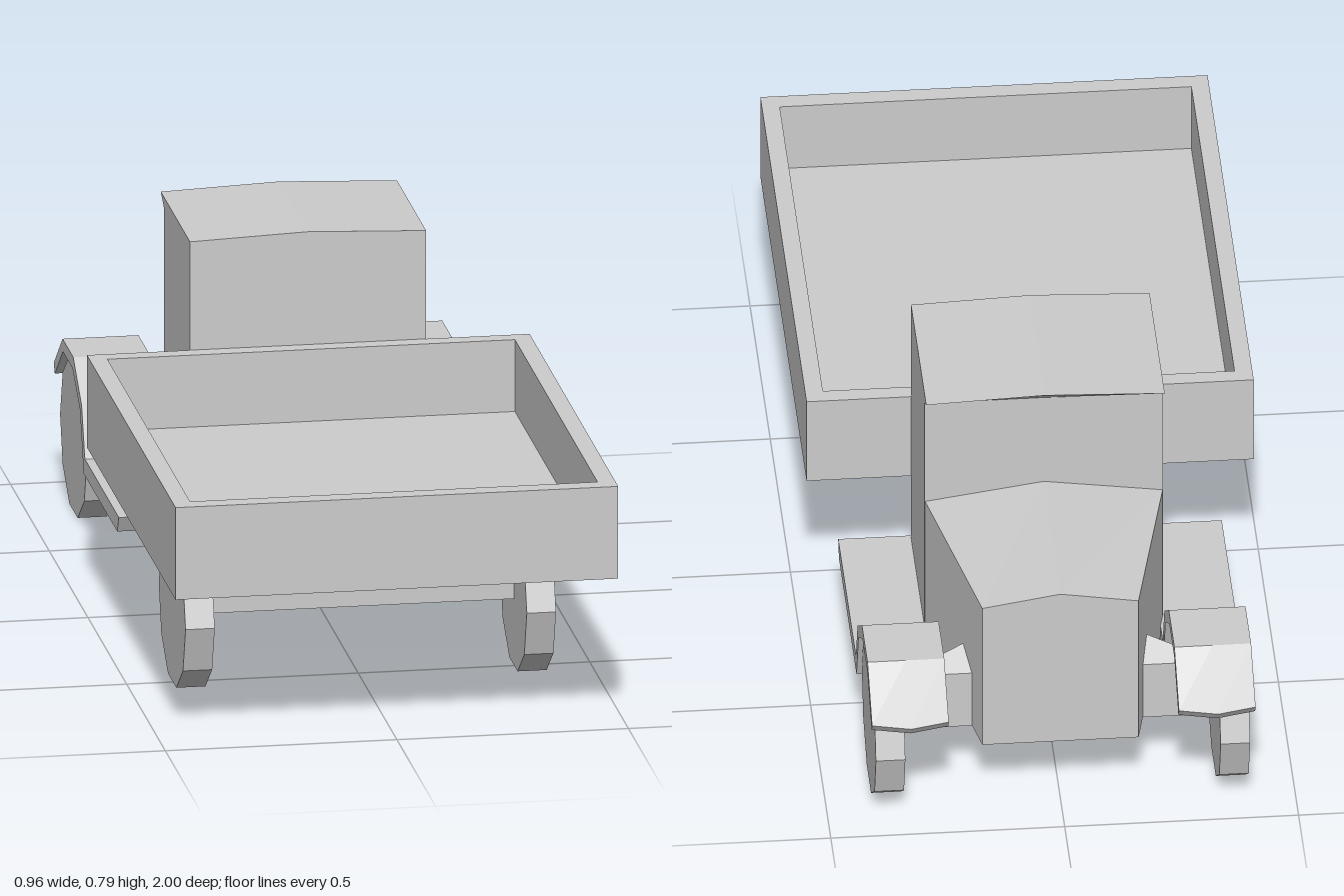
import * as THREE from 'three';

const material = new THREE.MeshStandardMaterial({ color: 0xcccccc, flatShading: true });

function addMesh(parent, name, geometry) {
  const mesh = new THREE.Mesh(geometry, material);
  mesh.name = name;
  parent.add(mesh);
  return mesh;
}

// Moves every vertex by a rule
function warp(geometry, rule) {
  const pos = geometry.attributes.position;
  const v = new THREE.Vector3();
  for (let i = 0; i < pos.count; i++) {
    rule(v.fromBufferAttribute(pos, i));
    pos.setXYZ(i, v.x, v.y, v.z);
  }
  geometry.computeVertexNormals();
  return geometry;
}

// Extrudes a side profile of [z, y] points from x0 to x1, with a middle row of vertices
function sideExtrude(profile, x0, x1) {
  const shape = new THREE.Shape(profile.map(([z, y]) => new THREE.Vector2(z, y)));
  return new THREE.ExtrudeGeometry(shape, { depth: x1 - x0, steps: 2, bevelEnabled: false })
    .rotateY(-Math.PI / 2)
    .translate(x1, 0, 0);
}

function rectangle(PathType, x, z0, z1) {
  return new PathType([[-x, z0], [x, z0], [x, z1], [-x, z1]].map(([a, b]) => new THREE.Vector2(a, b)));
}

export function createModel() {
  const truck = new THREE.Group();
  truck.name = 'truck';

  // Open cargo bed: a rim of four walls around a floor
  const bed = new THREE.Group();
  bed.name = 'cargoBed';
  truck.add(bed);
  const rim = rectangle(THREE.Shape, 0.478, -1, 0.145);
  rim.holes.push(rectangle(THREE.Path, 0.44, -0.96, 0.108));
  addMesh(bed, 'bedWalls', new THREE.ExtrudeGeometry(rim, { depth: 0.205, bevelEnabled: false })
    .rotateX(-Math.PI / 2).translate(0, 0.335, 0));
  addMesh(bed, 'bedFloor', new THREE.BoxGeometry(0.9, 0.045, 1.09).translate(0, 0.3577, 0.426));

  // Cab with a ridged roof and a small visor over the windscreen
  const cab = sideExtrude(
    [[-0.148, 0.15], [-0.148, 0.78], [-0.525, 0.78], [-0.485, 0.757], [-0.485, 0.15]], -0.255, 0.255);
  addMesh(truck, 'cab', warp(cab, (v) => {
    if (Math.abs(v.x) < 0.01 && v.y > 0.77) v.y += 0.01;
  }));

  // Hood narrows toward the nose and has a central ridge
  const hood = sideExtrude([[-0.48, 0.15], [-0.48, 0.503], [-0.895, 0.503], [-0.895, 0.15]], -1, 1);
  addMesh(truck, 'hood', warp(hood, (v) => {
    const nose = v.z < -0.6;
    if (Math.abs(v.x) < 0.01 && v.y > 0.4) v.y += nose ? 0.027 : 0.037;
    v.x *= nose ? 0.167 : 0.255;
  }));

  // Chassis spine that flares into an axle at both ends
  const rows = [-0.82, -0.71, 0.38, 0.5];
  addMesh(truck, 'chassis', warp(new THREE.BoxGeometry(2, 1, 3, 1, 1, 3), (v) => {
    const row = Math.round(v.z + 1.5);
    const end = row === 0 || row === 3;
    v.set(v.x * (end ? 0.34 : 0.09), v.y < 0 ? 0.149 : end ? 0.285 : 0.345, rows[row]);
  }));

  // Running boards that bend up into the front fenders
  const fenderProfile = [
    [-0.14, 0.177], [-0.578, 0.177], [-0.62, 0.284], [-0.728, 0.359], [-0.867, 0.359], [-0.98, 0.272],
    [-0.966, 0.252], [-0.862, 0.332], [-0.739, 0.332], [-0.642, 0.268], [-0.594, 0.14], [-0.16, 0.14],
  ];
  for (const [side, s] of [['left', 1], ['right', -1]]) {
    const middle = s * 0.328;
    const fender = sideExtrude(fenderProfile, middle - 0.082, middle + 0.082);
    addMesh(truck, side + 'FenderAndRunningBoard', warp(fender, (v) => {
      if (Math.abs(v.x - middle) < 0.01 && v.z < -0.95) v.z -= 0.02;
    }));

    // Ten-sided wheels
    for (const [end, z] of [['Front', -0.785], ['Rear', 0.49]]) {
      const wheel = addMesh(truck, side + end + 'Wheel',
        new THREE.CylinderGeometry(0.173, 0.173, 0.063, 10).rotateZ(Math.PI / 2));
      wheel.position.set(s * 0.3685, 0.165, z);
    }
  }
  return truck;
}
